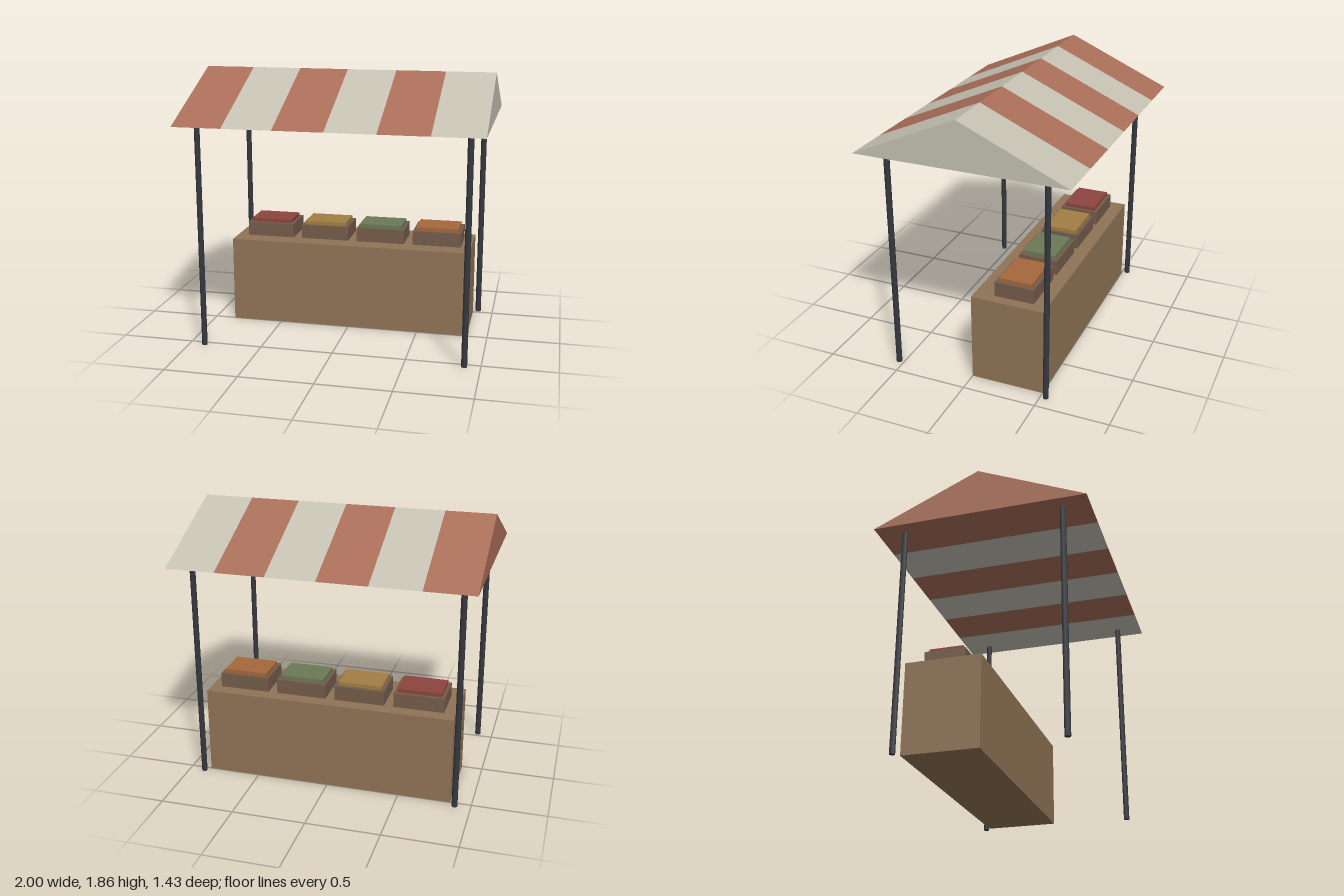
import * as THREE from 'three';

const material = (color) => new THREE.MeshStandardMaterial({ color });

export function createModel() {
  const stall = new THREE.Group();
  stall.name = 'marketStall';

  const add = (name, geometry, mat, x, y, z) => {
    const mesh = new THREE.Mesh(geometry, mat);
    mesh.name = name;
    mesh.position.set(x, y, z);
    stall.add(mesh);
  };

  const red = material(0xa96e58);
  const cream = material(0xc4c0b2);
  const metal = material(0x35383e);
  const wood = material(0x8f7355);
  const crateWood = material(0x735c4a);

  // Gabled awning: six solid triangular stripes side by side
  const roofBase = 1.54, roofTop = 1.857, roofHalf = 0.714, stripes = 6;
  const stripeWidth = 2 / stripes;
  const gable = new THREE.Shape([
    new THREE.Vector2(-roofHalf, 0),
    new THREE.Vector2(roofHalf, 0),
    new THREE.Vector2(0, roofTop - roofBase),
  ]);
  const stripe = new THREE.ExtrudeGeometry(gable, { depth: stripeWidth, bevelEnabled: false });
  stripe.rotateY(Math.PI / 2); // extrusion runs along x
  for (let i = 0; i < stripes; i++) {
    add('awningStripe', stripe, i % 2 ? cream : red, -1 + i * stripeWidth, roofBase, 0);
  }

  // Four corner poles
  const pole = new THREE.CylinderGeometry(0.02, 0.02, roofBase, 8);
  for (const x of [-0.893, 0.893]) {
    for (const z of [-0.536, 0.536]) add('pole', pole, metal, x, roofBase / 2, z);
  }

  // Counter, set in the rear half
  const counterTop = 0.607;
  add('counter', new THREE.BoxGeometry(1.714, counterTop, 0.5), wood, 0, counterTop / 2, -0.25);

  // Crates, each heaped with a different coloured produce
  const crate = new THREE.BoxGeometry(0.343, 0.1, 0.272);
  const produce = new THREE.BoxGeometry(0.3, 0.05, 0.226);
  [0x8c443d, 0xa27e42, 0x6a7957, 0xa5673b].forEach((color, i) => {
    const x = -0.607 + i * 0.407;
    add('crate', crate, crateWood, x, counterTop + 0.05, -0.27);
    add('produce', produce, material(color), x, 0.707, -0.27);
  });

  return stall;
}
